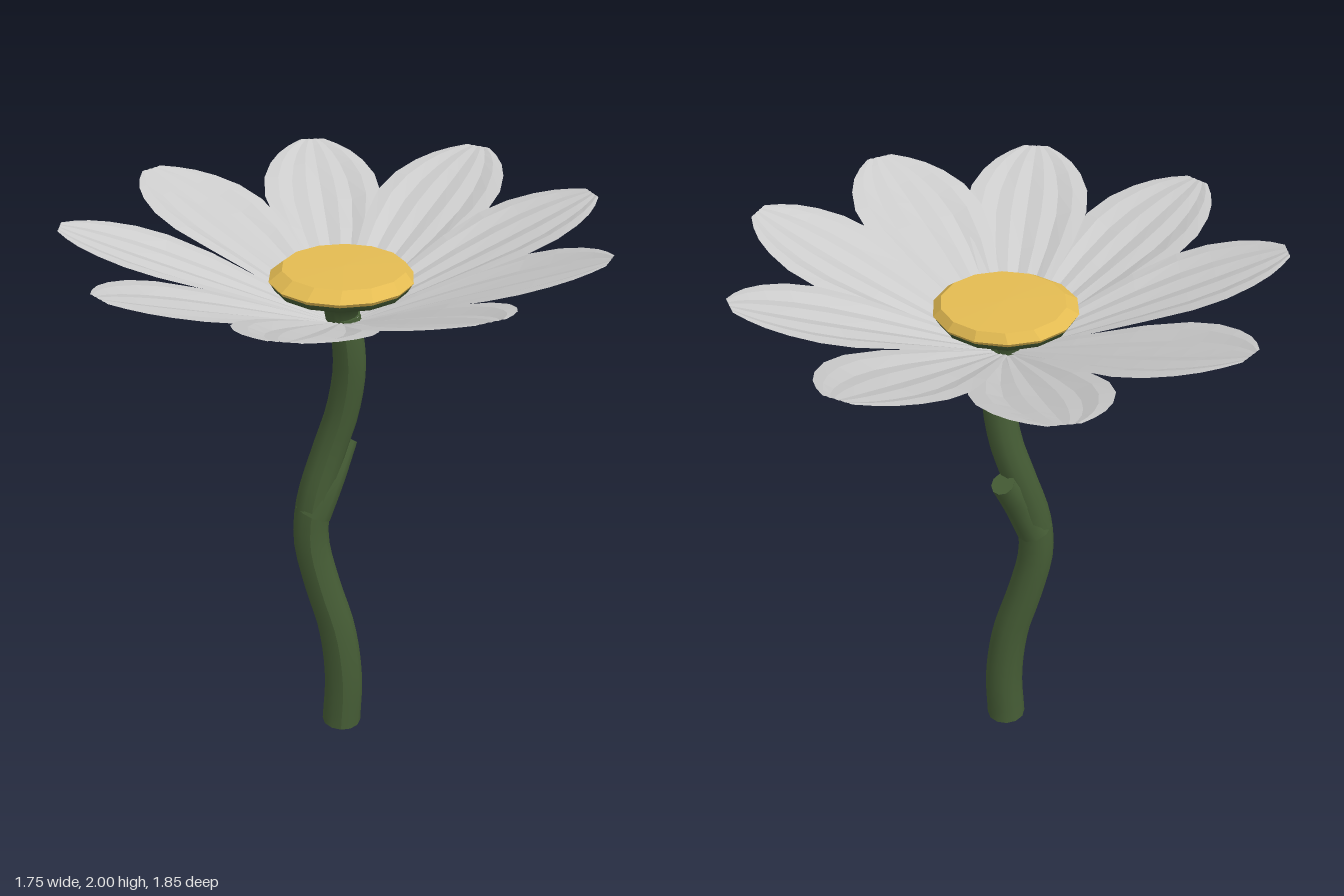
import * as THREE from 'three';

const vec = (p) => new THREE.Vector3(...p);
const green = new THREE.MeshStandardMaterial({ color: 0x455c35 });
const yellow = new THREE.MeshStandardMaterial({ color: 0xe3bb52, flatShading: true });
const white = new THREE.MeshStandardMaterial({ color: 0xcccccc, flatShading: true, side: THREE.DoubleSide });

// Tube along points that tapers from r0 to r1, with a flat cap on each end
function taperedStalk(name, points, r0, r1, steps, sides) {
  const group = new THREE.Group();
  group.name = name;
  const path = new THREE.CatmullRomCurve3(points.map(vec));
  const geo = new THREE.TubeGeometry(path, steps, 1, sides);
  const pos = geo.attributes.position, v = new THREE.Vector3();
  for (let i = 0; i < pos.count; i++) {
    const t = Math.floor(i / (sides + 1)) / steps;
    const c = path.getPointAt(t);
    v.fromBufferAttribute(pos, i).sub(c).multiplyScalar(r0 + (r1 - r0) * t).add(c);
    pos.setXYZ(i, v.x, v.y, v.z);
  }
  geo.computeVertexNormals();
  group.add(new THREE.Mesh(geo, green));
  for (const [t, r, dir] of [[0, r0, -1], [1, r1, 1]]) {
    const cap = new THREE.Mesh(new THREE.CircleGeometry(r, sides), green);
    const c = path.getPointAt(t);
    cap.position.copy(c);
    cap.lookAt(c.clone().addScaledVector(path.getTangentAt(t), dir));
    group.add(cap);
  }
  return group;
}

// Share of the length, and half width there as a share of the widest
const outline = [[0, 0.14], [0.22, 0.5], [0.45, 0.84], [0.62, 1], [0.74, 0.97],
  [0.84, 0.82], [0.91, 0.64], [0.96, 0.44], [1, 0.22]];
const innerRadius = 0.045;

// Pleated sheet running out along +x, rising to the tip, with slightly lifted edges
function petalGeometry(length, halfWidth, rise, bend) {
  const cols = 8, rows = outline.length;
  const positions = [], index = [];
  outline.forEach(([t, share], i) => {
    for (let j = 0; j <= cols; j++) {
      const s = j / cols * 2 - 1;
      const pleat = (j % 2 ? 0.009 : -0.006) * share * (1 - 0.5 * t);
      const cup = 0.03 * s * s * Math.sin(Math.PI * t);
      positions.push(innerRadius + (length - innerRadius) * t,
        rise * t + pleat + cup,
        s * halfWidth * share + bend * Math.sin(Math.PI * t));
      if (i < rows - 1 && j < cols) {
        const a = i * (cols + 1) + j, b = a + cols + 1;
        index.push(a, a + 1, b, b, a + 1, b + 1);
      }
    }
  });
  const geo = new THREE.BufferGeometry();
  geo.setAttribute('position', new THREE.Float32BufferAttribute(positions, 3));
  geo.setIndex(index);
  geo.computeVertexNormals();
  return geo;
}

export function createModel() {
  const model = new THREE.Group();
  model.name = 'flower';

  // Wavy stem
  model.add(taperedStalk('stem', [
    [0.04, 0, 0.037], [0.047, 0.2, 0.036], [0.022, 0.42, 0.035], [-0.033, 0.62, 0.033],
    [-0.07, 0.8, 0.03], [-0.06, 0.96, 0.025], [-0.004, 1.16, 0.006], [0.038, 1.3, 0.006],
    [0.062, 1.46, 0.02], [0.06, 1.55, 0.03], [0.045, 1.67, 0.035],
  ], 0.072, 0.054, 30, 12));

  // Short side shoot growing out of the stem, cut off at its tip
  model.add(taperedStalk('sideShoot', [
    [-0.064, 0.91, 0.028], [-0.01, 1.03, 0.005], [0.05, 1.165, -0.058],
  ], 0.068, 0.043, 6, 10));

  // Flower head
  const head = new THREE.Group();
  head.name = 'flowerHead';
  head.position.set(0.035, 0, 0.03);
  model.add(head);

  // Petals: angle in degrees (from +x towards +z), length, half width, tip height, sideways bend
  const petals = [
    [-98, 0.955, 0.207, 1.97, 0.005], [-60, 0.955, 0.217, 1.985, 0], [-20, 0.885, 0.205, 1.99, 0],
    [22, 0.875, 0.215, 1.995, -0.015], [61, 0.885, 0.22, 1.985, 0.01], [98.5, 0.9, 0.212, 1.97, 0],
    [139, 0.905, 0.213, 1.965, 0], [178, 0.9, 0.19, 1.975, 0], [221, 0.91, 0.207, 1.965, 0.015],
  ];
  petals.forEach(([angle, length, halfWidth, top, bend], i) => {
    const base = 1.65 + 0.004 * (i % 3);
    const petal = new THREE.Mesh(petalGeometry(length, halfWidth, top - base, bend), white);
    petal.name = 'petal' + (i + 1);
    petal.position.y = base;
    petal.rotation.y = -THREE.MathUtils.degToRad(angle);
    head.add(petal);
  });

  // Green cup holding the disc
  const cupProfile = [[0.05, 1.645], [0.06, 1.7], [0.14, 1.745], [0.22, 1.77], [0.232, 1.79]];
  const cup = new THREE.Mesh(
    new THREE.LatheGeometry(cupProfile.map(([r, y]) => new THREE.Vector2(r, y)), 14), green);
  cup.name = 'cup';
  head.add(cup);

  // Yellow disc with a bevelled rim, its top set slightly off centre
  const discProfile = [[0, 1.78], [0.225, 1.78], [0.24, 1.802], [0.205, 1.832], [0, 1.835]];
  const discGeo = new THREE.LatheGeometry(discProfile.map(([r, y]) => new THREE.Vector2(r, y)), 14);
  const dp = discGeo.attributes.position;
  for (let i = 0; i < dp.count; i++) {
    if (dp.getY(i) > 1.82) {
      dp.setX(i, dp.getX(i) + 0.008);
      dp.setZ(i, dp.getZ(i) - 0.015);
    }
  }
  const disc = new THREE.Mesh(discGeo, yellow);
  disc.name = 'disc';
  head.add(disc);

  return model;
}
